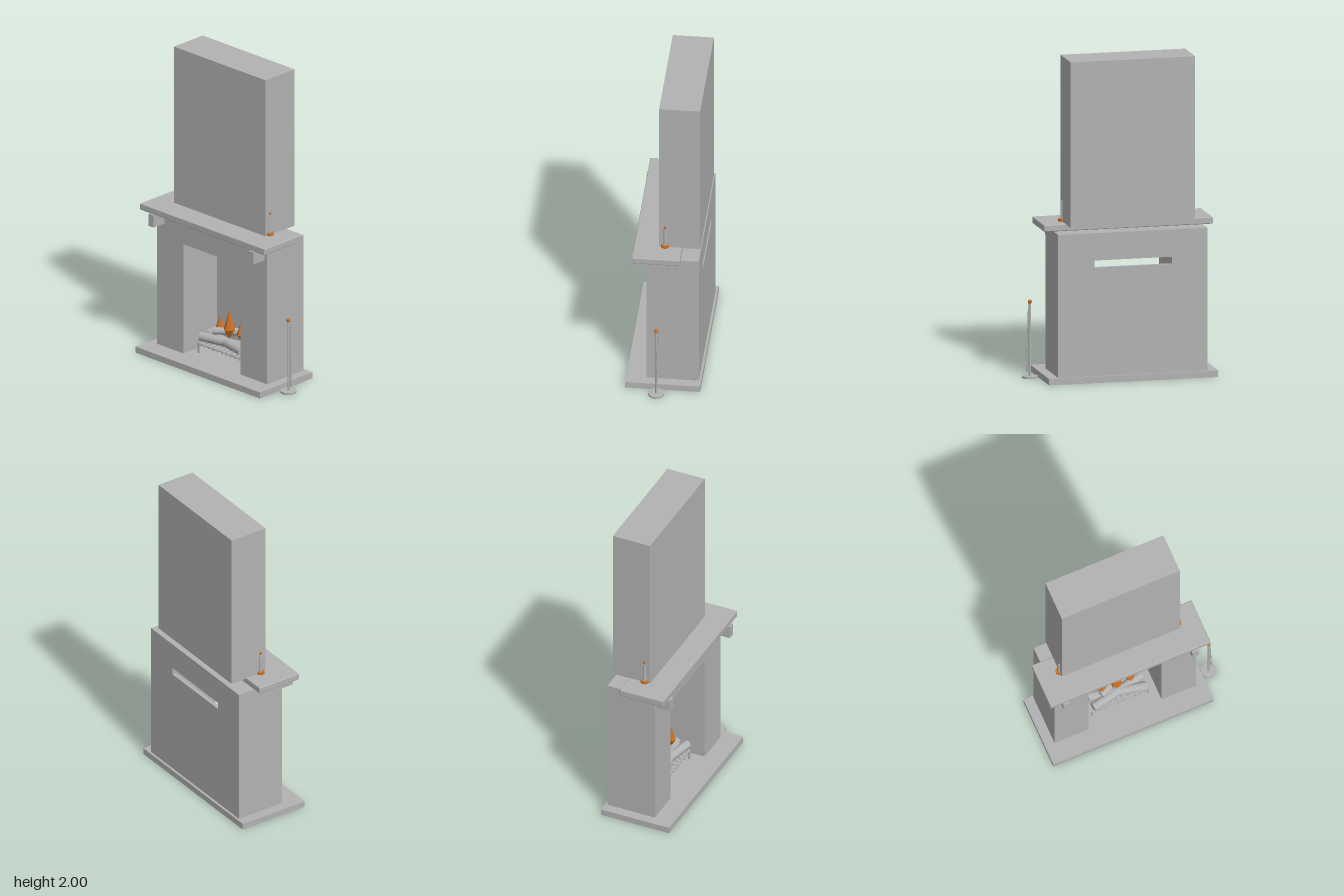
import * as THREE from 'three';
import { RoundedBoxGeometry } from 'three/addons/geometries/RoundedBoxGeometry.js';

export function createModel() {
  const model = new THREE.Group();
  model.name = 'fireplace';
  const stone = new THREE.MeshStandardMaterial({ name: 'stone grey', color: 0xb2b2b2 });
  const flame = new THREE.MeshStandardMaterial({ name: 'flame orange', color: 0xcc7022 });
  const CX = -0.053; // centre line of the fireplace

  function add(name, geometry, material = stone, parent = model) {
    const mesh = new THREE.Mesh(geometry, material);
    mesh.name = name;
    parent.add(mesh);
    return mesh;
  }
  // Box from its lower and upper limits on each axis
  function box(name, x0, x1, y0, y1, z0, z1, parent) {
    const g = new THREE.BoxGeometry(x1 - x0, y1 - y0, z1 - z0);
    g.translate((x0 + x1) / 2, (y0 + y1) / 2, (z0 + z1) / 2);
    return add(name, g, stone, parent);
  }
  // Round rod between two points
  function rod(name, a, b, radius, sides = 12, parent = model) {
    const from = new THREE.Vector3(...a), to = new THREE.Vector3(...b);
    const dir = to.clone().sub(from);
    const mesh = add(name, new THREE.CylinderGeometry(radius, radius, dir.length(), sides), stone, parent);
    mesh.position.copy(from).add(to).multiplyScalar(0.5);
    mesh.quaternion.setFromUnitVectors(new THREE.Vector3(0, 1, 0), dir.normalize());
    return mesh;
  }

  // Hearth slab
  box('hearth', -0.585, 0.48, 0, 0.04, -0.23, 0.23);

  // Surround: an arch-shaped outline with the firebox opening cut from below
  const outline = [[-0.523, 0.04], [-0.297, 0.04], [-0.297, 0.76], [0.19, 0.76],
    [0.19, 0.04], [0.418, 0.04], [0.418, 0.93], [-0.523, 0.93]];
  const surround = new THREE.Shape(outline.map(([x, y]) => new THREE.Vector2(x, y)));
  add('surround', new THREE.ExtrudeGeometry(surround, { depth: 0.32, bevelEnabled: false }))
    .position.z = -0.215;
  // Firebox back stops short of the opening's top, leaving a slot
  box('fireboxBack', -0.297, 0.19, 0.04, 0.715, -0.215, -0.19);

  // Mantel shelf, its brackets and the chimney breast
  add('mantel', new RoundedBoxGeometry(1.065, 0.042, 0.295, 2, 0.006))
    .position.set(CX, 0.951, 0.043);
  for (const side of [-1, 1]) {
    const x = CX + side * 0.428;
    box('mantelBracket', x - 0.022, x + 0.022, 0.85, 0.93, 0.105, 0.2);
  }
  box('chimneyBreast', -0.445, 0.34, 0.97, 2, -0.215, 0.037);

  // Candles beside the chimney breast
  for (const side of [-1, 1]) {
    const candle = new THREE.Group();
    candle.name = 'candle';
    candle.position.set(CX + side * 0.391, 0.972, 0);
    model.add(candle);
    add('candleHolder', new THREE.CylinderGeometry(0.025, 0.025, 0.016, 20), flame, candle).position.y = 0.008;
    add('candleStick', new THREE.CylinderGeometry(0.01, 0.012, 0.115, 16), stone, candle).position.y = 0.073;
    const profile = [[0, 0.128], [0.008, 0.137], [0.007, 0.145], [0, 0.16]];
    add('candleFlame', new THREE.LatheGeometry(profile.map(p => new THREE.Vector2(...p)), 10), flame, candle);
  }

  // Grate: frame, legs and cross bars
  const grate = new THREE.Group();
  grate.name = 'grate';
  model.add(grate);
  const gx0 = -0.243, gx1 = 0.137, gz0 = -0.13, gz1 = 0.03;
  for (const z of [gz0, gz1]) {
    box('grateRail', gx0, gx1, 0.098, 0.106, z - 0.005, z + 0.005, grate);
    for (const x of [gx0, gx1 - 0.01]) box('grateLeg', x, x + 0.01, 0.04, 0.1, z - 0.005, z + 0.005, grate);
  }
  for (let i = 0; i < 10; i++) {
    const x = gx0 + 0.02 + i * (gx1 - gx0 - 0.04) / 9;
    rod('grateBar', [x, 0.097, gz0 - 0.01], [x, 0.097, gz1 + 0.01], 0.006, 8, grate);
  }

  // Logs: two crossing below, one resting on top
  rod('lowerLog', [-0.23, 0.148, 0.02], [0.124, 0.148, -0.055], 0.029, 20);
  rod('lowerLog', [-0.23, 0.148, -0.055], [0.124, 0.148, 0.02], 0.029, 20);
  rod('upperLog', [-0.158, 0.195, -0.015], [0.03, 0.213, -0.105], 0.023, 20);

  // Fire: faceted spindles
  const fireMaterial = flame;
  for (const [x, y, z, height, radius] of [
    [-0.05, 0.17, -0.045, 0.19, 0.036], [-0.138, 0.18, -0.055, 0.108, 0.029], [0.045, 0.18, -0.05, 0.123, 0.028]]) {
    const profile = [[0, 0], [0.3, 0.02], [1, 0.3], [0.55, 0.6], [0, 1]]
      .map(([r, h]) => new THREE.Vector2(r * radius, h * height));
    const g = new THREE.LatheGeometry(profile, 6).toNonIndexed();
    g.computeVertexNormals();
    add('fireFlame', g, fireMaterial).position.set(x, y, z);
  }

  // Tool stand with a leaning poker
  const stand = new THREE.Group();
  stand.name = 'toolStand';
  stand.position.set(0.533, 0, 0.034);
  model.add(stand);
  add('standBase', new THREE.CylinderGeometry(0.049, 0.049, 0.013, 32), stone, stand).position.y = 0.0065;
  rod('standPole', [0, 0.013, 0], [0, 0.465, 0], 0.008, 12, stand);
  add('standKnob', new THREE.SphereGeometry(0.013, 16, 12), flame, stand).position.y = 0.474;
  rod('poker', [0.021, 0.04, -0.003], [0.012, 0.44, -0.011], 0.004, 8, stand);

  return model;
}
